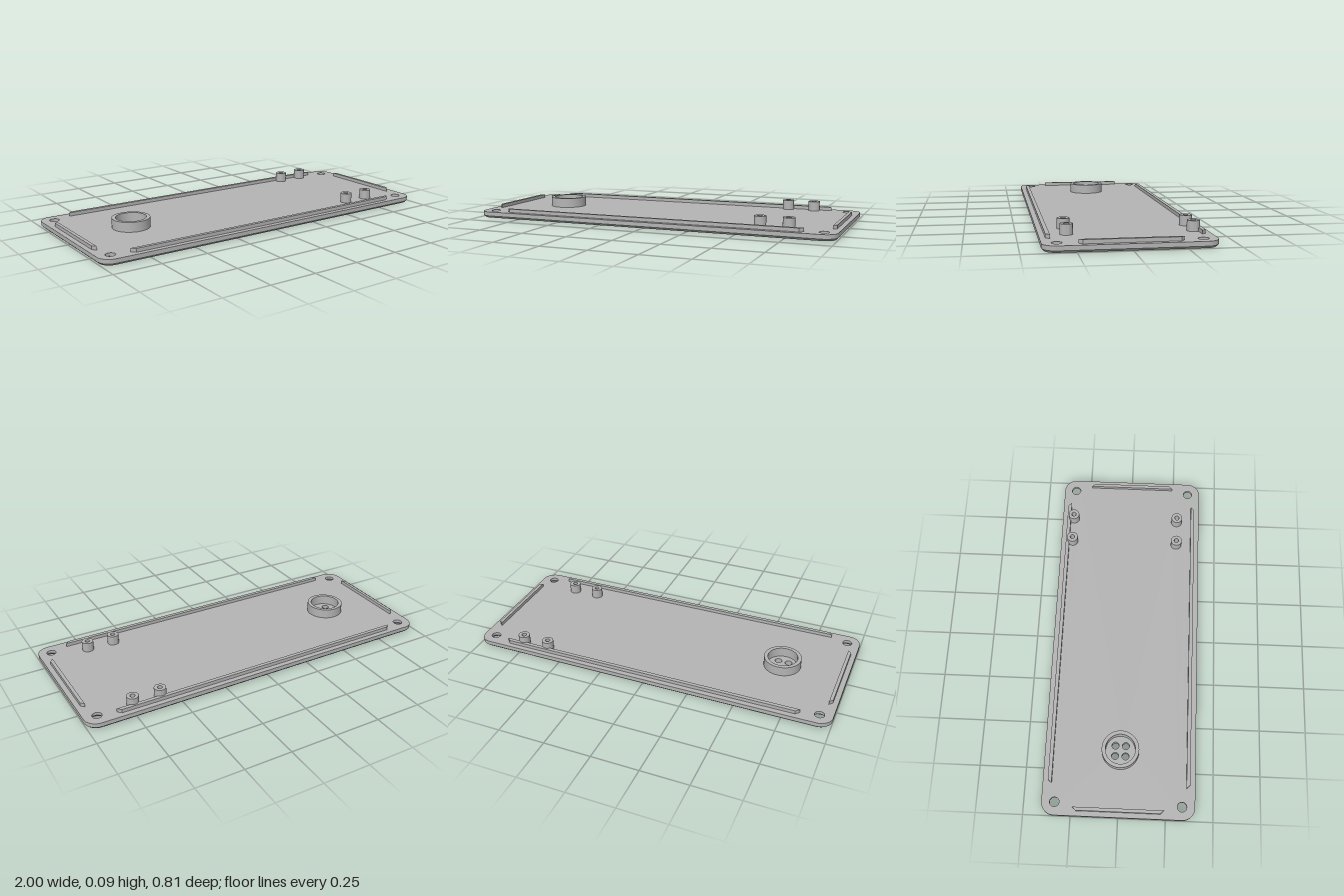
import * as THREE from 'three';
import { toCreasedNormals } from 'three/addons/utils/BufferGeometryUtils.js';

const HX = 1, HZ = 0.4035, CORNER = 0.068; // plate half sizes and corner radius
const TOP = 0.033, CHAMFER = 0.011, POST_TOP = 0.085, RECESS = 0.008;

// Rounded-rectangle loop of [x, z] points, pulled inwards by inset
function outline(inset) {
  const pts = [], n = 10, r = CORNER - inset;
  for (let k = 0; k < 4; k++) {
    const mid = (k + 0.5) * Math.PI / 2;
    const cx = Math.sign(Math.sin(mid)) * (HX - CORNER);
    const cz = Math.sign(Math.cos(mid)) * (HZ - CORNER);
    for (let j = 0; j <= n; j++) {
      const a = (k + j / n) * Math.PI / 2;
      pts.push([cx + r * Math.sin(a), cz + r * Math.cos(a)]);
    }
  }
  return pts;
}

function circle(x, z, r, n = 40) {
  return Array.from({ length: n }, (_, i) => {
    const a = i / n * Math.PI * 2;
    return [x + r * Math.sin(a), z + r * Math.cos(a)];
  });
}

// Flat horizontal face with holes, facing up or down
function flatFace(loop, holes, y, up) {
  const s = up ? -1 : 1;
  const vec = (pts) => pts.map(([x, z]) => new THREE.Vector2(x, s * z));
  const shape = new THREE.Shape(vec(loop));
  for (const [x, z, r] of holes) shape.holes.push(new THREE.Path(vec(circle(x, z, r))));
  return new THREE.ShapeGeometry(shape).rotateX(s * Math.PI / 2).translate(0, y, 0);
}

// Skin through the outline at [inset, y] levels, bottom to top
function rim(levels) {
  const loops = levels.map(([inset, y]) => outline(inset).map(([x, z]) => [x, y, z]));
  const n = loops[0].length, index = [];
  for (let l = 0; l < loops.length - 1; l++) {
    for (let i = 0; i < n; i++) {
      const a = l * n + i, b = l * n + (i + 1) % n;
      index.push(a, b, a + n, b, b + n, a + n);
    }
  }
  const g = new THREE.BufferGeometry();
  g.setAttribute('position', new THREE.Float32BufferAttribute(loops.flat(2), 3));
  g.setIndex(index);
  return toCreasedNormals(g, 0.5);
}

// Revolved profile of [radius, y]; running upwards faces out, downwards faces in
function revolve(profile, x, z) {
  const g = new THREE.LatheGeometry(profile.map(([r, y]) => new THREE.Vector2(r, y)), 40);
  return toCreasedNormals(g, 0.5).translate(x, 0, z);
}

// Low locating rail with mitred ends, shorter on its outer side
function railGeometry(half, inner, outer, angle) {
  const m = outer - inner;
  const shape = new THREE.Shape([
    new THREE.Vector2(-half, -inner), new THREE.Vector2(-half + m, -outer),
    new THREE.Vector2(half - m, -outer), new THREE.Vector2(half, -inner),
  ]);
  return new THREE.ExtrudeGeometry(shape, { depth: 0.019, bevelEnabled: false })
    .rotateX(-Math.PI / 2).translate(0, TOP, 0).rotateY(angle);
}

export function createModel() {
  const model = new THREE.Group();
  model.name = 'coverPlate';
  const grey = new THREE.MeshStandardMaterial({ color: 0xb4b4b4 });
  grey.name = 'grey';
  const add = (name, geometry) => {
    const mesh = new THREE.Mesh(geometry, grey);
    mesh.name = name;
    model.add(mesh);
  };

  const corners = [[1, 1], [1, -1], [-1, -1], [-1, 1]];
  const screws = corners.map(([a, b]) => [a * 0.931, b * 0.335]);
  const pads = corners.map(([a, b]) => [a * 0.725, b * 0.257]);
  const vents = corners.map(([a, b]) => [-0.648 + a * 0.028, b * 0.028]);
  const posts = [[0.595, 0.272], [0.743, 0.272], [0.595, -0.336], [0.743, -0.336]];
  const sized = (list, r) => list.map(([x, z]) => [x, z, r]);
  const through = [0.743, 0.272, 0.013]; // the one post bored right through

  // Plate
  add('plateTop', flatFace(outline(0),
    [...sized(screws, 0.025), ...sized(vents, 0.019), through], TOP, true));
  add('plateBottom', flatFace(outline(CHAMFER),
    [...sized(screws, 0.042), ...sized(vents, 0.019), ...sized(pads, 0.07)], 0, false));
  add('plateRim', rim([[CHAMFER, 0], [0, CHAMFER], [0, TOP]]));

  // Countersunk screw holes and vent holes
  for (const [x, z] of screws) {
    add('screwHole', revolve([[0.025, TOP], [0.025, 0.017], [0.042, 0]], x, z));
  }
  for (const [x, z] of vents) add('ventHole', revolve([[0.019, TOP], [0.019, 0]], x, z));

  // Shallow round foot recesses underneath
  for (const [x, z] of pads) {
    add('footRecessWall', revolve([[0.07, RECESS], [0.07, 0]], x, z));
    const holes = x > 0 && z > 0 ? [through] : [];
    add('footRecessFloor', flatFace(circle(x, z, 0.07), holes, RECESS, false));
  }

  // Round collar around the vents
  add('ventCollar', revolve(
    [[0.1, TOP], [0.1, POST_TOP], [0.08, POST_TOP], [0.08, TOP]], -0.648, 0));

  // Hollow mounting posts
  posts.forEach(([x, z], i) => {
    const floor = i === 1 ? RECESS : TOP;
    add('mountingPost', revolve(
      [[0.031, TOP], [0.031, POST_TOP], [0.013, POST_TOP], [0.013, floor]], x, z));
  });

  // Rails along all four edges
  for (const turn of [0, Math.PI]) {
    add('longRail', railGeometry(0.837, 0.356, 0.376, turn));
    add('shortRail', railGeometry(0.24, 0.955, 0.973, turn + Math.PI / 2));
  }
  return model;
}
